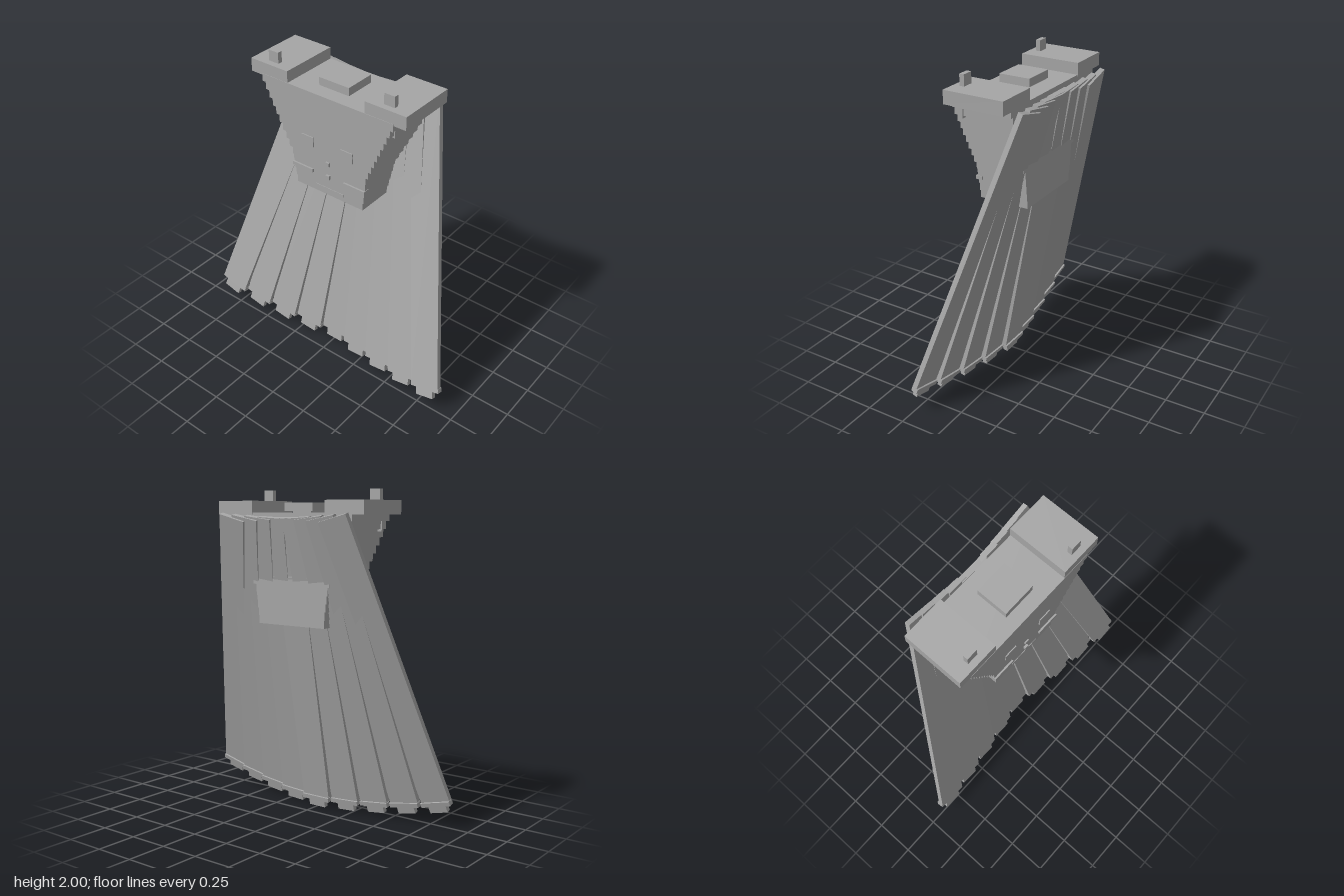
import * as THREE from 'three';

export function createModel() {
  const model = new THREE.Group();
  const grey = new THREE.MeshStandardMaterial({ color: 0xa6a6a6 });
  grey.name = 'stone grey';

  // Box given by its extents on each axis
  function box(name, x0, x1, y0, y1, z0, z1, parent = model) {
    const m = new THREE.Mesh(new THREE.BoxGeometry(x1 - x0, y1 - y0, z1 - z0), grey);
    m.position.set((x0 + x1) / 2, (y0 + y1) / 2, (z0 + z1) / 2);
    m.name = name;
    parent.add(m);
    return m;
  }

  // Chest: a stack of slabs narrowing downwards
  const chest = new THREE.Group();
  chest.name = 'chest';
  model.add(chest);
  const steps = 9, top = 1.86, waistTop = 1.43, h = (top - waistTop) / steps;
  for (let i = 0; i < steps; i++) {
    const t = i / (steps - 1), y = top - i * h;
    const w = THREE.MathUtils.lerp(0.462, 0.29, t);
    box('chestSlab', -w, w, y - h, y,
      THREE.MathUtils.lerp(-0.188, -0.162, t), THREE.MathUtils.lerp(0.196, 0.177, t), chest);
  }

  // Waist: finer slabs with a slight taper
  for (let i = 0; i < 5; i++) {
    const y = waistTop - i * 0.048, w = 0.27 - i * 0.006;
    box('waistSlab', -w, w, y - 0.048, y, -0.158, 0.173 - i * 0.002, chest);
  }

  // Neck plate on a smaller base
  box('neckBase', -0.07, 0.07, 1.855, 1.875, -0.05, 0.08);
  box('neckPlate', -0.105, 0.105, 1.87, 1.92, -0.085, 0.115);

  // Front details on the centre line
  box('upperStud', -0.013, 0.013, 1.4, 1.428, 0.15, 0.185);
  box('lowerStud', -0.013, 0.013, 1.312, 1.338, 0.15, 0.185);
  box('buckle', -0.105, 0.105, 1.22, 1.24, 0.15, 0.17);

  // Paired parts
  for (const s of [-1, 1]) {
    const pair = (name, a, b, ...r) => box(name, Math.min(s * a, s * b), Math.max(s * a, s * b), ...r);
    pair('shoulderPad', 0.272, 0.543, 1.85, 1.932, -0.19, 0.194);
    pair('shoulderPeg', 0.37, 0.44, 1.93, 2.0, 0.125, 0.155);
    pair('shoulderStrap', 0.37, 0.448, 1.75, 1.86, 0.135, 0.155);
    pair('chestPlate', 0.1, 0.185, 1.495, 1.56, 0.15, 0.188);
    pair('ribBar', 0.115, 0.267, 1.312, 1.335, 0.14, 0.182);
  }

  // Cape: nine overlapping slats fanned out, outer ones leaning further forward
  const cape = new THREE.Group();
  cape.name = 'cape';
  model.add(cape);
  for (let i = -4; i <= 4; i++) {
    const k = Math.abs(i);
    const a = new THREE.Vector3(0.0935 * i, 1.833, -0.213 - 0.0095 * k);
    const b = new THREE.Vector3(0.2 * i, 0.055 + 0.0052 * k * k, 0.115 + 0.031 * k);
    const d = b.clone().sub(a), length = d.length();
    const slat = new THREE.Group();
    slat.name = 'capeSlat';
    slat.position.copy(a);
    slat.rotation.order = 'ZXY';
    slat.rotation.z = Math.atan2(d.x, -d.y);
    slat.rotation.x = -Math.asin(d.z / length);
    cape.add(slat);
    box('slatPanel', -0.098, 0.098, -length, 0, -0.016, 0.016, slat);
    box('slatHem', -0.1, 0.1, -length - 0.004, -length + 0.024, -0.027, 0.012, slat);
    box('slatTab', -0.06, 0.06, -length - 0.05, -length + 0.01, -0.015, 0.0155, slat);
  }

  return model;
}
